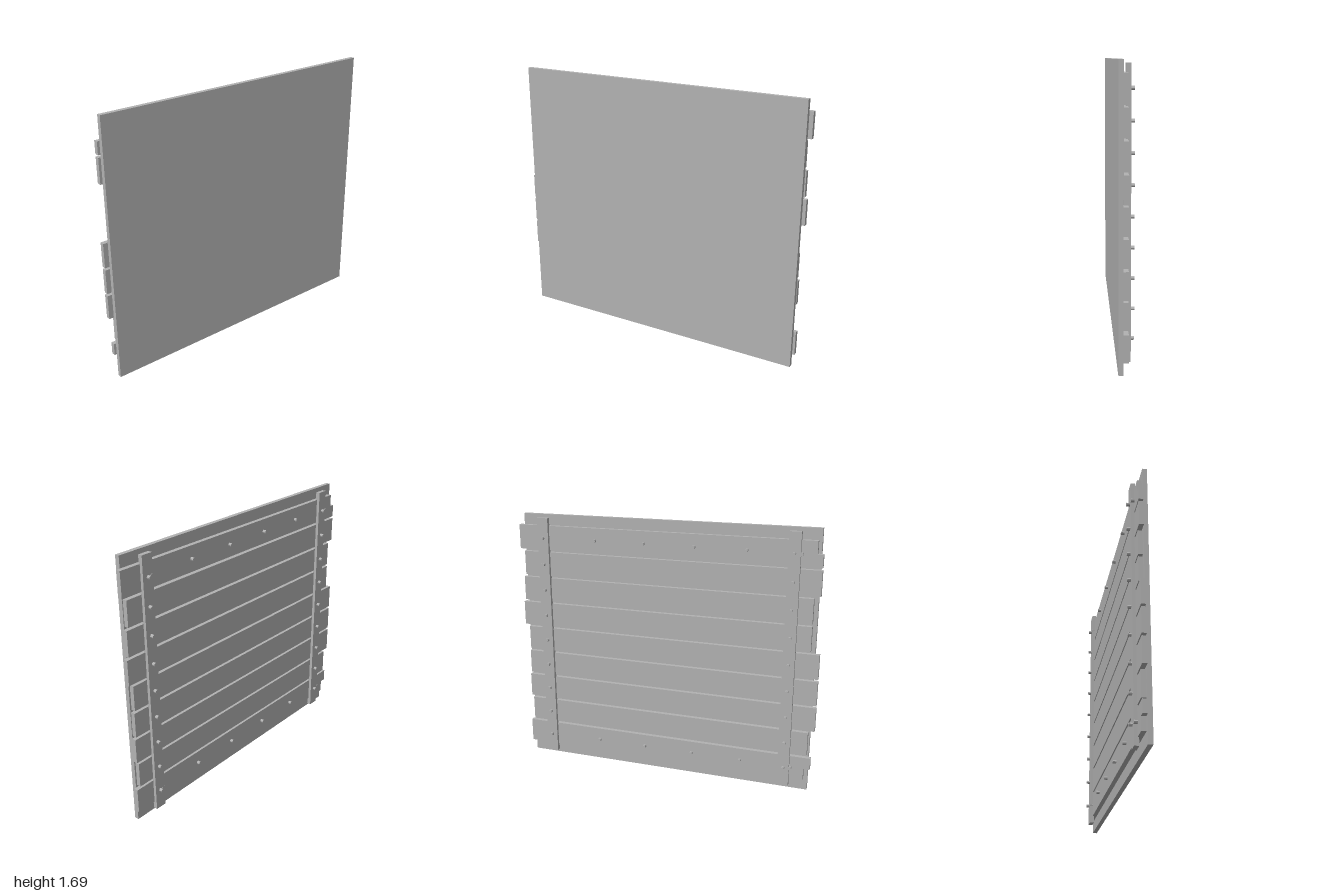
import * as THREE from 'three';

export function createModel() {
  const group = new THREE.Group();
  group.name = 'plankPanel';
  const grey = new THREE.MeshStandardMaterial({ color: 0xb2b2b2 });
  grey.name = 'plain grey';

  // Box given by its lower and upper limits on each axis
  function box(name, x0, x1, y0, y1, z0, z1) {
    const mesh = new THREE.Mesh(new THREE.BoxGeometry(x1 - x0, y1 - y0, z1 - z0), grey);
    mesh.position.set((x0 + x1) / 2, (y0 + y1) / 2, (z0 + z1) / 2);
    mesh.name = name;
    group.add(mesh);
  }

  // Short stud pointing out of the back
  const studGeometry = new THREE.CylinderGeometry(0.011, 0.011, 0.024, 8).rotateX(Math.PI / 2).toNonIndexed();
  studGeometry.computeVertexNormals();
  function stud(name, x, y, tipZ) {
    const mesh = new THREE.Mesh(studGeometry, grey);
    mesh.position.set(x, y, tipZ + 0.012);
    mesh.name = name;
    group.add(mesh);
  }

  // Flat front sheet
  box('frontSheet', -0.97, 0.97, 0, 1.69, 0.02, 0.048);

  // Uneven planks, bottom to top: [right end, left end, right end of the split-off half]
  const ends = [
    [-0.985, 0.985, -0.945], [-0.96, 0.96], [-1, 0.973], [-1, 0.965], [-1, 0.96],
    [-0.945, 0.99], [-0.945, 0.978], [-0.985, 0.965], [-0.985, 0.995, -0.95],
  ];
  const pitch = 0.173, firstY = 0.156, half = 0.079;
  const plankY = (i) => firstY + i * pitch;
  ends.forEach(([right, left, shortRight], i) => {
    const y = plankY(i), back = -0.008, front = 0.02;
    if (shortRight === undefined) {
      box('plank', right, left, y - half, y + half, back, front);
      return;
    }
    // Split plank: the half facing the panel's edge is shorter
    const lowShort = i === 0;
    box('plankLowerHalf', lowShort ? shortRight : right, left, y - half, y, back, front);
    box('plankUpperHalf', lowShort ? right : shortRight, left, y, y + half, back, front);
  });

  // Two upright battens, each with a stud at every plank
  for (const side of [-1, 1]) {
    const x = side * 0.818;
    box('batten', x - 0.037, x + 0.037, 0.03, 1.67, -0.027, 0.0);
    ends.forEach((_, i) => stud('battenStud', x, plankY(i), -0.048));
  }

  // Stud rows along the bottom and top planks
  for (const i of [0, 8]) {
    for (let k = 0; k < 6; k++) stud('plankStud', -0.86 + k * 0.33, plankY(i), -0.029);
  }
  return group;
}
